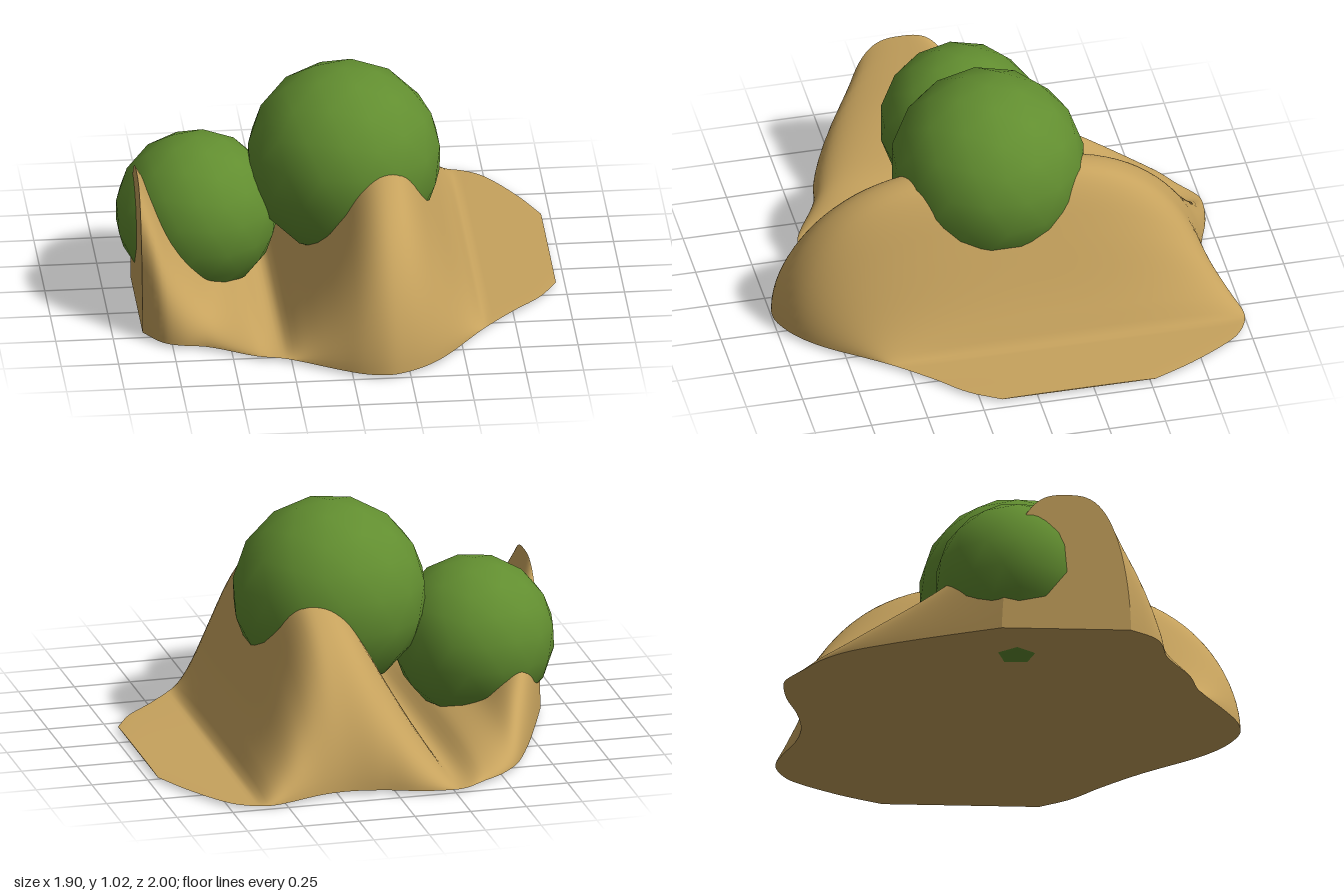
import * as THREE from 'three';

const BASE = 0.015;

// Rim and height stations, as [x, value] pairs
const FRONT_RIM = [[-0.87, 0.48], [-0.8, 0.58], [-0.73, 0.62], [-0.6, 0.65], [-0.4, 0.76], [-0.27, 0.8],
  [-0.05, 0.93], [0.05, 0.98], [0.15, 1], [0.23, 0.98], [0.33, 0.92], [0.43, 0.82], [0.6, 0.59],
  [0.75, 0.42], [0.88, 0.29], [0.96, 0.16]];
const BACK_RIM = [[-0.87, -0.08], [-0.78, -0.32], [-0.7, -0.52], [-0.6, -0.73], [-0.5, -0.85], [-0.4, -0.92],
  [-0.3, -0.99], [-0.23, -1], [-0.1, -0.98], [0.05, -0.93], [0.2, -0.905], [0.33, -0.92], [0.48, -0.975],
  [0.58, -1], [0.68, -0.97], [0.76, -0.9], [0.88, -0.7], [0.96, -0.52]];
const CREST = [[-0.87, 0.64], [-0.82, 0.53], [-0.75, 0.39], [-0.65, 0.25], [-0.55, 0.14], [-0.4, 0.07],
  [-0.34, 0.02], [-0.28, 0], [-0.2, 0.12], [-0.1, 0.3], [0, 0.49], [0.07, 0.61], [0.13, 0.67],
  [0.2, 0.69], [0.27, 0.67], [0.33, 0.59], [0.4, 0.44], [0.5, 0.22], [0.57, 0.09], [0.63, 0], [0.96, 0]];

// Smooth (Hermite) interpolation through uneven stations
function sample(table, x) {
  const last = table.length - 1;
  let i = 0;
  while (i < last - 1 && x > table[i + 1][0]) i++;
  const slope = (k) => {
    const a = table[Math.max(k - 1, 0)], b = table[Math.min(k + 1, last)];
    return (b[1] - a[1]) / (b[0] - a[0]);
  };
  const [x0, y0] = table[i], [x1, y1] = table[i + 1];
  const d = x1 - x0, s = (x - x0) / d, s2 = s * s, s3 = s2 * s;
  return y0 * (2 * s3 - 3 * s2 + 1) + y1 * (3 * s2 - 2 * s3)
    + d * (slope(i) * (s3 - 2 * s2 + s) + slope(i + 1) * (s3 - s2));
}

// Point on the dune: u runs along x, v from the back rim to the front rim
function dunePoint(u, v) {
  const x = -0.87 + 1.83 * u;
  const front = sample(FRONT_RIM, x), back = sample(BACK_RIM, x);
  const t = -Math.cos(Math.PI * v);
  const dome = Math.pow(Math.max(0, 1 - Math.abs(t) ** 3), 0.58);
  const y = BASE + Math.max(sample(CREST, x), 0.004) * dome;
  return [x, y, (front + back) / 2 + t * (front - back) / 2];
}

// Grid surface whose front side faces v cross u
function surface(fn, nu, nv) {
  const positions = [], index = [];
  for (let i = 0; i <= nu; i++) {
    for (let j = 0; j <= nv; j++) positions.push(...fn(i / nu, j / nv));
  }
  for (let i = 0; i < nu; i++) {
    for (let j = 0; j < nv; j++) {
      const a = i * (nv + 1) + j, b = a + nv + 1;
      index.push(a, a + 1, b, b, a + 1, b + 1);
    }
  }
  const geometry = new THREE.BufferGeometry();
  geometry.setAttribute('position', new THREE.Float32BufferAttribute(positions, 3));
  geometry.setIndex(index);
  geometry.computeVertexNormals();
  return geometry;
}

export function createModel() {
  const model = new THREE.Group();
  model.name = 'duneWithBushes';
  const sand = new THREE.MeshStandardMaterial({ color: 0xc6a25d });
  sand.name = 'sand';
  const leaf = new THREE.MeshStandardMaterial({ color: 0x628e30 });
  leaf.name = 'leafGreen';

  const add = (parent, name, geometry, material) => {
    const mesh = new THREE.Mesh(geometry, material);
    mesh.name = name;
    parent.add(mesh);
    return mesh;
  };

  // Sand dune: rolling top, flat underside and two cut ends
  const dune = new THREE.Group();
  dune.name = 'dune';
  model.add(dune);
  const endPoint = (u, s, v) => {
    const [x, y, z] = dunePoint(u, v);
    return [x, BASE + (y - BASE) * s, z];
  };
  add(dune, 'duneTop', surface(dunePoint, 90, 48), sand);
  add(dune, 'duneUnderside', surface((u, v) => endPoint(1 - u, 0, v), 90, 4), sand);
  add(dune, 'duneRightEnd', surface((s, v) => endPoint(0, s, v), 1, 48), sand);
  add(dune, 'duneLeftEnd', surface((s, v) => endPoint(1, 1 - s, v), 1, 48), sand);

  // Round bushes, turned so a corner points straight up
  const bush = (name, radius, x, y, z) => {
    const geometry = new THREE.IcosahedronGeometry(radius, 2);
    geometry.rotateZ(-Math.atan(2 / (1 + Math.sqrt(5))));
    add(model, name, geometry, leaf).position.set(x, y, z);
  };
  bush('largeBush', 0.425, 0.05, 0.6, 0.02);
  bush('smallBush', 0.355, -0.59, 0.355, -0.005);
  return model;
}
